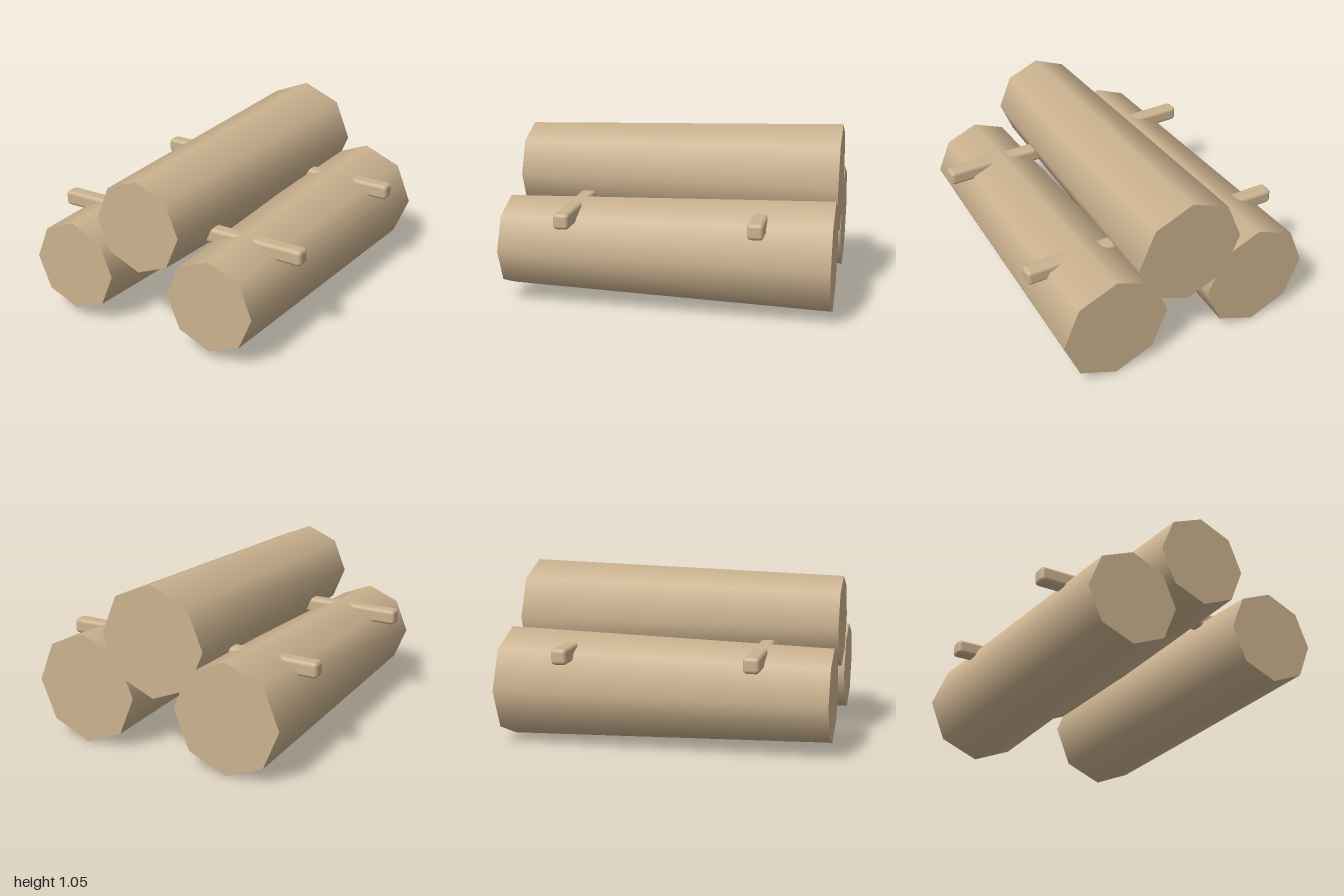
import * as THREE from 'three';
import { RoundedBoxGeometry } from 'three/addons/geometries/RoundedBoxGeometry.js';

export function createModel() {
  const model = new THREE.Group();
  model.name = 'logPile';

  const wood = new THREE.MeshStandardMaterial({ color: 0xcbb28f });
  wood.name = 'light wood';

  const add = (name, geometry, x, y, z) => {
    const mesh = new THREE.Mesh(geometry, wood);
    mesh.name = name;
    mesh.position.set(x, y, z);
    model.add(mesh);
  };

  // Eight-sided logs, narrower at the front, smooth along the sides
  const log = new THREE.CylinderGeometry(0.283, 0.341, 2, 8).rotateX(Math.PI / 2);
  add('leftLog', log, 0.483, 0.345, 0);
  add('rightLog', log, -0.483, 0.345, 0);
  add('topLog', log, 0, 0.717, 0);

  // Rounded cross bars running through the pile
  const bar = new RoundedBoxGeometry(1.706, 0.096, 0.096, 3, 0.024);
  add('frontCrossBar', bar, 0, 0.575, 0.571);
  add('backCrossBar', bar, 0, 0.575, -0.571);

  return model;
}
